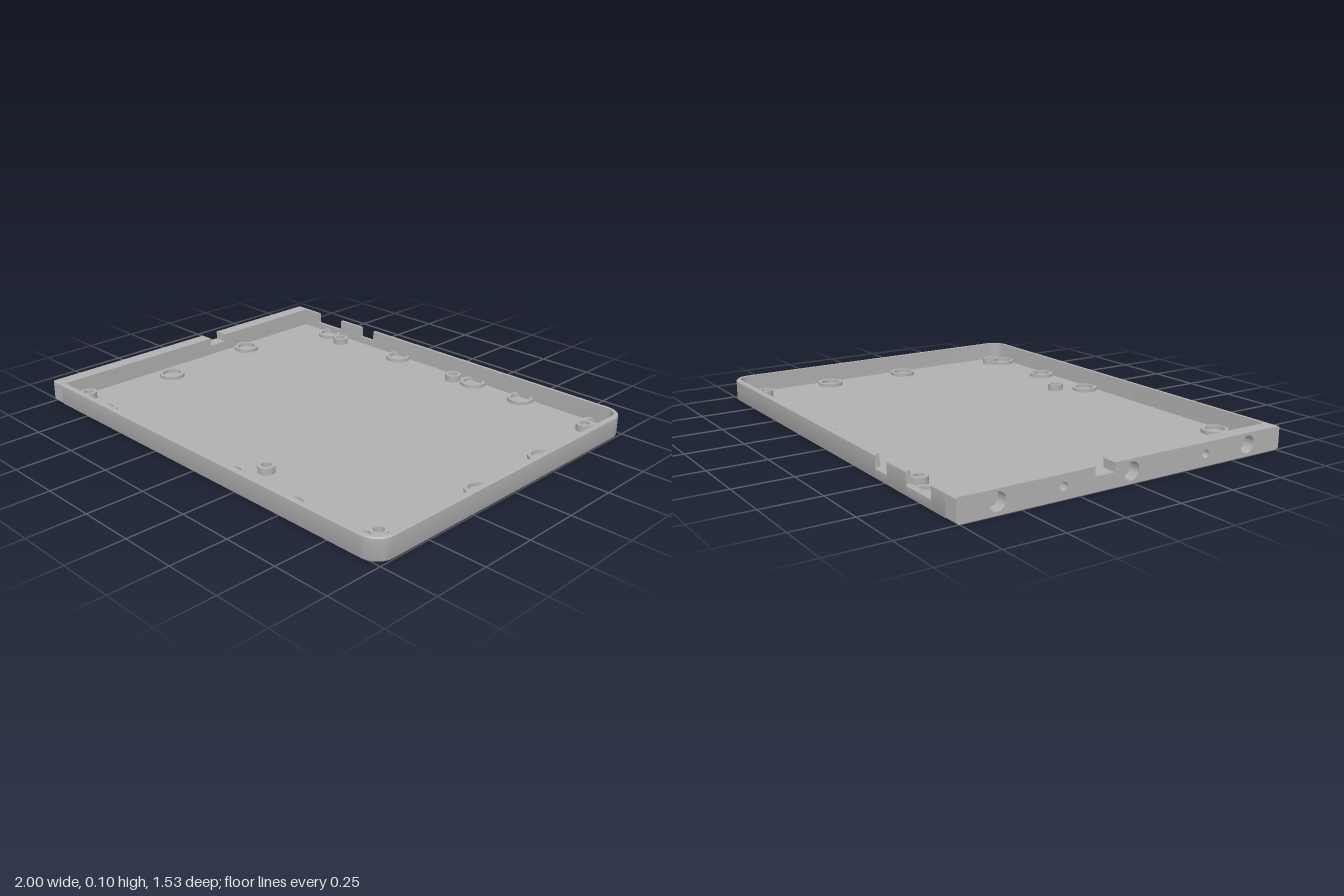
import * as THREE from 'three';
import { toCreasedNormals } from 'three/addons/utils/BufferGeometryUtils.js';

const HALF_Z = 0.763, HEIGHT = 0.097, FLOOR = 0.015, WALL = 0.02;
const BEVEL = 0.009, RADIUS = 0.08, INNER_X = -0.935, NOTCH_Y = 0.047;

// Stations along the three thin walls (front, right end, back): x, z and wall height
function wallPath(inset) {
  const pts = [[INNER_X, HALF_Z - inset, HEIGHT]];
  const r = RADIUS - inset, steps = 10;
  for (const side of [1, -1]) {
    for (let i = 0; i <= steps; i++) {
      const a = (side > 0 ? 1 - i / steps : -i / steps) * Math.PI / 2;
      pts.push([1 - RADIUS + r * Math.cos(a), side * (HALF_Z - RADIUS) + r * Math.sin(a), HEIGHT]);
    }
  }
  const z = -(HALF_Z - inset);
  // Two cut-outs in the back wall; doubled stations make the vertical steps
  for (const [from, to] of [[-0.44, -0.53], [-0.67, -0.84]]) {
    pts.push([from, z, HEIGHT], [from, z, NOTCH_Y], [to, z, NOTCH_Y], [to, z, HEIGHT]);
  }
  pts.push([INNER_X, z, HEIGHT]);
  return pts;
}

// Sweep of the bevelled wall section along the path
function wallGeometry() {
  const section = [
    [BEVEL, () => 0], [BEVEL * 0.3, () => BEVEL * 0.3], [0, () => BEVEL],
    [0, h => h - BEVEL * 0.6], [BEVEL * 0.6, h => h], [WALL, h => h], [WALL, () => FLOOR],
  ];
  const pos = [], index = [];
  const n = wallPath(0).length;
  section.forEach(([inset, y]) => wallPath(inset).forEach(([x, z, h]) => pos.push(x, y(h), z)));
  for (let j = 0; j < section.length - 1; j++) {
    for (let i = 0; i < n - 1; i++) {
      const a = j * n + i, b = a + 1, c = b + n, d = a + n;
      index.push(a, b, c, a, c, d);
    }
  }
  const g = new THREE.BufferGeometry();
  g.setAttribute('position', new THREE.Float32BufferAttribute(pos, 3));
  g.setIndex(index);
  return toCreasedNormals(g, 0.5);
}

// Flat sheet bounded by the wall path, facing up or down
function sheet(inset, y, up) {
  const s = up ? -1 : 1;
  const pts = wallPath(inset).map(([x, z]) => new THREE.Vector2(x, s * z));
  return new THREE.ShapeGeometry(new THREE.Shape(pts)).rotateX(s * Math.PI / 2).translate(0, y, 0);
}

// Layer of the thick end wall, drawn in z and y, with a notch in its top edge
function endLayer(xInner, depth, holes) {
  const b = BEVEL, z = HALF_Z;
  const shape = new THREE.Shape([
    [-z + b, 0], [z - b, 0], [z, b], [z, HEIGHT - b * 0.6], [z - b * 0.6, HEIGHT],
    [-0.09, HEIGHT], [-0.09, 0.06], [-0.18, 0.06], [-0.18, HEIGHT],
    [-z + b * 0.6, HEIGHT], [-z, HEIGHT - b * 0.6], [-z, b],
  ].map(p => new THREE.Vector2(...p)));
  for (const [hz, r] of holes) {
    shape.holes.push(new THREE.Path().absarc(hz, 0.05, r, 0, Math.PI * 2, true));
  }
  const g = new THREE.ExtrudeGeometry(shape, { depth, bevelEnabled: false, curveSegments: 24 });
  return toCreasedNormals(g.rotateY(-Math.PI / 2).translate(xInner, 0, 0), 0.6);
}

// Raised ring on the floor, cut off where it meets a wall
function ring(x, z, outer, inner, height) {
  const shape = new THREE.Shape().absarc(0, 0, outer, 0, Math.PI * 2, false);
  shape.holes.push(new THREE.Path().absarc(0, 0, inner, 0, Math.PI * 2, true));
  const g = new THREE.ExtrudeGeometry(shape, { depth: height, bevelEnabled: false, curveSegments: 20 });
  g.rotateX(-Math.PI / 2).translate(x, FLOOR, z);
  const p = g.attributes.position, limit = HALF_Z - WALL / 2;
  for (let i = 0; i < p.count; i++) p.setZ(i, THREE.MathUtils.clamp(p.getZ(i), -limit, limit));
  return toCreasedNormals(g, 0.6);
}

export function createModel() {
  const model = new THREE.Group();
  model.name = 'tray';
  const grey = new THREE.MeshStandardMaterial({ color: 0xb0b0b0 });
  grey.name = 'plain grey';
  const add = (geometry, name) => {
    const mesh = new THREE.Mesh(geometry, grey);
    mesh.name = name;
    model.add(mesh);
  };

  add(wallGeometry(), 'thinWalls');
  add(sheet(WALL, FLOOR, true), 'floorTop');
  add(sheet(BEVEL, 0, false), 'floorUnderside');

  // Thick end wall with blind holes in its outer face
  add(endLayer(INNER_X, 0.015, []), 'endWallInner');
  add(endLayer(INNER_X - 0.015, 0.05,
    [[-0.6, 0.036], [-0.32, 0.017], [-0.01, 0.036], [0.36, 0.017], [0.585, 0.036]]), 'endWallOuter');

  // Low wide rings around the rim
  const rings = [
    [-0.72, -0.71], [-0.24, -0.71], [0.23, -0.71], [0.5, -0.71], [0.89, -0.71],
    [-0.87, -0.265], [-0.84, 0.225], [0.915, -0.29], [0.915, 0.115],
    [-0.72, 0.69], [0.15, 0.69], [0.5, 0.69], [0.855, 0.69],
  ];
  rings.forEach(([x, z]) => add(ring(x, z, 0.058, 0.043, 0.016), 'wideRing'));

  // Taller small screw posts
  const posts = [
    [-0.6, -0.67], [0.13, -0.685], [0.88, -0.645], [-0.89, 0.655], [0.23, 0.575], [0.88, 0.63],
  ];
  posts.forEach(([x, z]) => add(ring(x, z, 0.036, 0.021, 0.03), 'screwPost'));

  return model;
}
